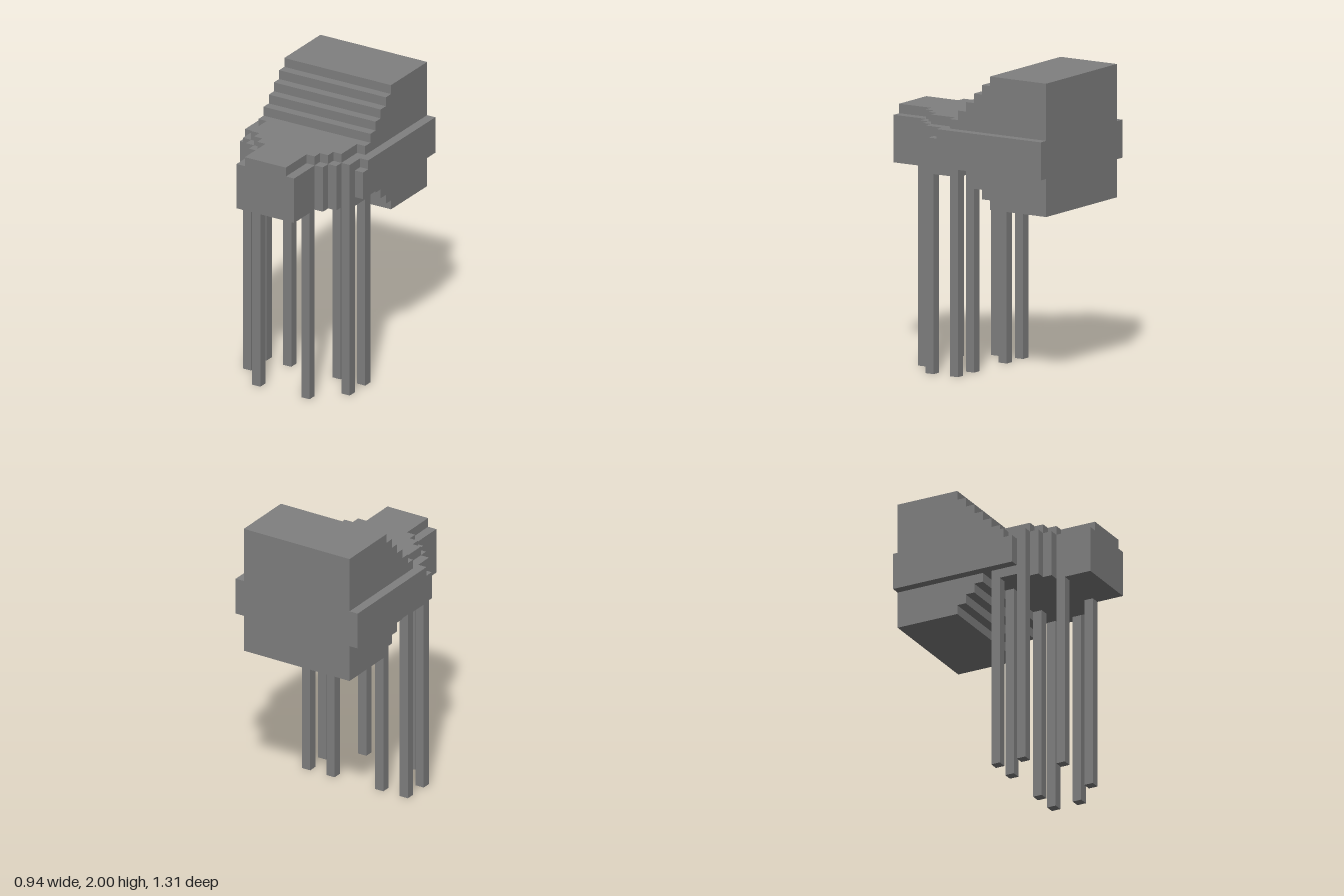
import * as THREE from 'three';

const U = 1 / 16; // edge of one grid block
const grey = new THREE.MeshStandardMaterial({ color: 0x808080 });
grey.name = 'grey';

function extrude(points, depth) {
  const shape = new THREE.Shape(points.map(([a, b]) => new THREE.Vector2(a * U, b * U)));
  return new THREE.ExtrudeGeometry(shape, { depth: depth * U, bevelEnabled: false });
}

// Side profile of (z, y) points, given width along x and centred on x
function sideProfile(points, width, x = 0) {
  return extrude(points, width).translate(0, 0, -width * U / 2).rotateY(-Math.PI / 2).translate(x * U, 0, 0);
}

// Mirrored plan of (x, z) points for the +x half, between two heights
function plan(half, bottom, top) {
  const mirrored = half.map(([x, z]) => [-x, z]).reverse();
  return extrude([...half, ...mirrored], top - bottom).rotateX(Math.PI / 2).translate(0, top * U, 0);
}

export function createModel() {
  const model = new THREE.Group();
  const add = (name, geometry) => {
    const mesh = new THREE.Mesh(geometry, grey);
    mesh.name = name;
    model.add(mesh);
    return mesh;
  };

  // Large rear body, stepped down to the neck above and below
  const body = [[-10.5, 18]];
  for (let i = 0; i < 5; i++) body.push([-3.5 + i, 18 + i], [-3.5 + i, 19 + i]);
  body.length -= 1;
  body.push([0.5, 22]);
  for (let i = 0; i < 5; i++) body.push([0.5 - i, 28 + i], [-0.5 - i, 28 + i]);
  body.length -= 1;
  body.push([-10.5, 32]);
  add('rearBody', sideProfile(body, 13));

  // Front body, tapering in steps to the head
  add('frontBody', plan([
    [6.5, 0.5], [6.5, 4.5], [5.5, 4.5], [5.5, 5.5], [4.5, 5.5],
    [4.5, 6.5], [3.5, 6.5], [3.5, 10.5],
  ], 21, 26));

  // Raised top layer, one block inside the front body's edge
  add('frontTop', plan([
    [6.5, 0.5], [6.5, 1.5], [5.5, 1.5], [5.5, 4.5], [4.5, 4.5],
    [4.5, 5.5], [3.5, 5.5], [3.5, 6.5], [2.5, 6.5], [2.5, 10.5],
  ], 26, 27));

  for (const side of [-1, 1]) {
    const label = side > 0 ? 'left' : 'right';

    // Flat side panel with a notched front corner
    add(label + 'SidePanel', sideProfile([
      [-10.5, 22], [3.5, 22], [3.5, 25], [2.5, 25], [2.5, 26], [-10.5, 26],
    ], 1, 7 * side));

    // Four thin legs
    const legs = [['Front', 3, 7], ['Middle', 6, 4], ['RearOuter', 6, 1], ['RearInner', 3, 1]];
    for (const [name, x, z] of legs) {
      const leg = add(label + name + 'Leg', new THREE.BoxGeometry(U, 21 * U, U));
      leg.position.set(x * side * U, 10.5 * U, z * U);
    }
  }
  return model;
}
